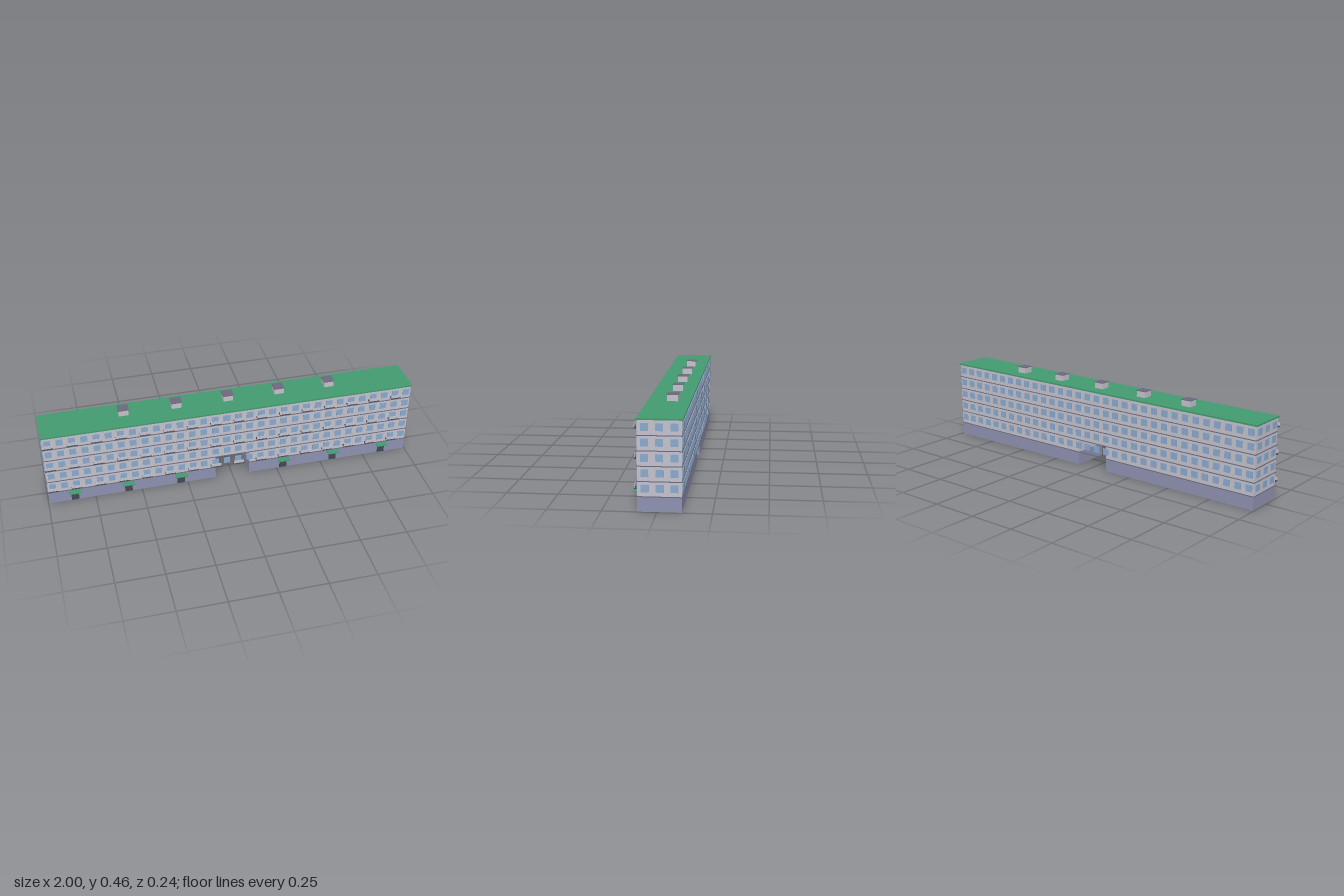
import * as THREE from 'three';

const material = (name, color, extra = {}) => {
  const m = new THREE.MeshStandardMaterial({ color, ...extra });
  m.name = name;
  return m;
};

export function createModel() {
  const model = new THREE.Group();
  model.name = 'apartmentBlock';

  const wall = material('wall grey', 0xc4c3cc);
  const plinth = material('plinth blue grey', 0x8e92b0);
  const glass = material('window blue', 0x8aa9cf);
  const green = material('roof green', 0x439a70);
  const trim = material('trim purple grey', 0x6b6880);
  const dark = material('dark grey', 0x434756);

  // Main dimensions
  const HX = 0.995, FRONT = 0.088, BACK = -0.113;
  const FLOOR = 0.07, FLOORS = 5, GAP = 0.094;
  const TOP = FLOOR * (FLOORS + 1);
  const MID = (FRONT + BACK) / 2;

  const group = (name) => {
    const g = new THREE.Group();
    g.name = name;
    model.add(g);
    return g;
  };

  // Box given by its two extreme corners
  const box = (parent, name, mat, x0, x1, y0, y1, z0, z1) => {
    const mesh = new THREE.Mesh(new THREE.BoxGeometry(x1 - x0, y1 - y0, z1 - z0), mat);
    mesh.position.set((x0 + x1) / 2, (y0 + y1) / 2, (z0 + z1) / 2);
    mesh.name = name;
    parent.add(mesh);
  };

  // Walls, with a passage through the plinth and the first storey
  const body = group('body');
  box(body, 'upperStoreys', wall, -HX, HX, FLOOR * 2, TOP, BACK, FRONT);
  for (const [x0, x1] of [[-HX, -GAP], [GAP, HX]]) {
    box(body, 'plinth', plinth, x0, x1, 0, FLOOR, BACK, FRONT);
    box(body, 'firstStorey', wall, x0, x1, FLOOR, FLOOR * 2, BACK, FRONT);
  }

  // Roof slab
  box(model, 'roof', green, -1, 1, TOP, TOP + 0.008, -0.118, 0.091);

  // Thin bands around the building at each floor level
  const bands = group('floorBands');
  for (let f = 1; f <= FLOORS; f++) {
    const y0 = f * FLOOR - 0.002, y1 = y0 + 0.004, out = 0.0025;
    box(bands, 'frontBand', trim, -HX - out, HX + out, y0, y1, FRONT, FRONT + out);
    box(bands, 'backBand', trim, -HX - out, HX + out, y0, y1, BACK - out, BACK);
    box(bands, 'leftBand', trim, HX, HX + out, y0, y1, BACK, FRONT);
    box(bands, 'rightBand', trim, -HX - out, -HX, y0, y1, BACK, FRONT);
  }

  // Windows on all four sides, and balconies on every other floor and column
  const windows = group('windows');
  const balconies = group('balconies');
  const COLUMNS = 32, PITCH = 2 / COLUMNS, W = 0.0175, PROUD = 0.0035;
  for (let f = 0; f < FLOORS; f++) {
    const base = FLOOR * (f + 1);
    const y0 = base + 0.021, y1 = y0 + 0.035;
    for (let i = 0; i < COLUMNS; i++) {
      const x = -1 + PITCH * (i + 0.5);
      box(windows, 'frontWindow', glass, x - W, x + W, y0, y1, FRONT - 0.001, FRONT + PROUD);
      box(windows, 'backWindow', glass, x - W, x + W, y0, y1, BACK - PROUD, BACK + 0.001);
      if (f % 2 === 0 && i % 2 === 0) {
        const b = 0.028;
        box(balconies, 'balconySlab', dark, x - b, x + b, base + 0.018, base + 0.022, FRONT, 0.11);
        box(balconies, 'balconyRail', wall, x - b, x + b, base + 0.022, base + 0.039, 0.107, 0.109);
      }
    }
    for (const dz of [-0.067, 0, 0.067]) {
      const z = MID + dz;
      box(windows, 'leftWindow', glass, HX - 0.001, HX + PROUD, y0, y1, z - W, z + W);
      box(windows, 'rightWindow', glass, -HX - PROUD, -HX + 0.001, y0, y1, z - W, z + W);
    }
  }

  // Entrances with doors and green canopies, leaving the passage free
  const entrances = group('entrances');
  for (let i = -3; i <= 3; i++) {
    if (i === 0) continue;
    const x = (i * 2) / 7;
    box(entrances, 'door', dark, x - 0.02, x + 0.02, 0.002, 0.058, FRONT, FRONT + 0.003);
    box(entrances, 'canopy', green, x - 0.032, x + 0.032, 0.06, 0.064, FRONT, 0.12);
  }

  // Roof vents with flat caps
  const vents = group('roofVents');
  for (let i = -2; i <= 2; i++) {
    const x = i * 0.279, z = -0.031;
    box(vents, 'ventBox', wall, x - 0.026, x + 0.026, TOP + 0.008, 0.459, z - 0.026, z + 0.026);
    box(vents, 'ventCap', trim, x - 0.029, x + 0.029, 0.459, 0.462, z - 0.028, z + 0.028);
  }

  return model;
}
